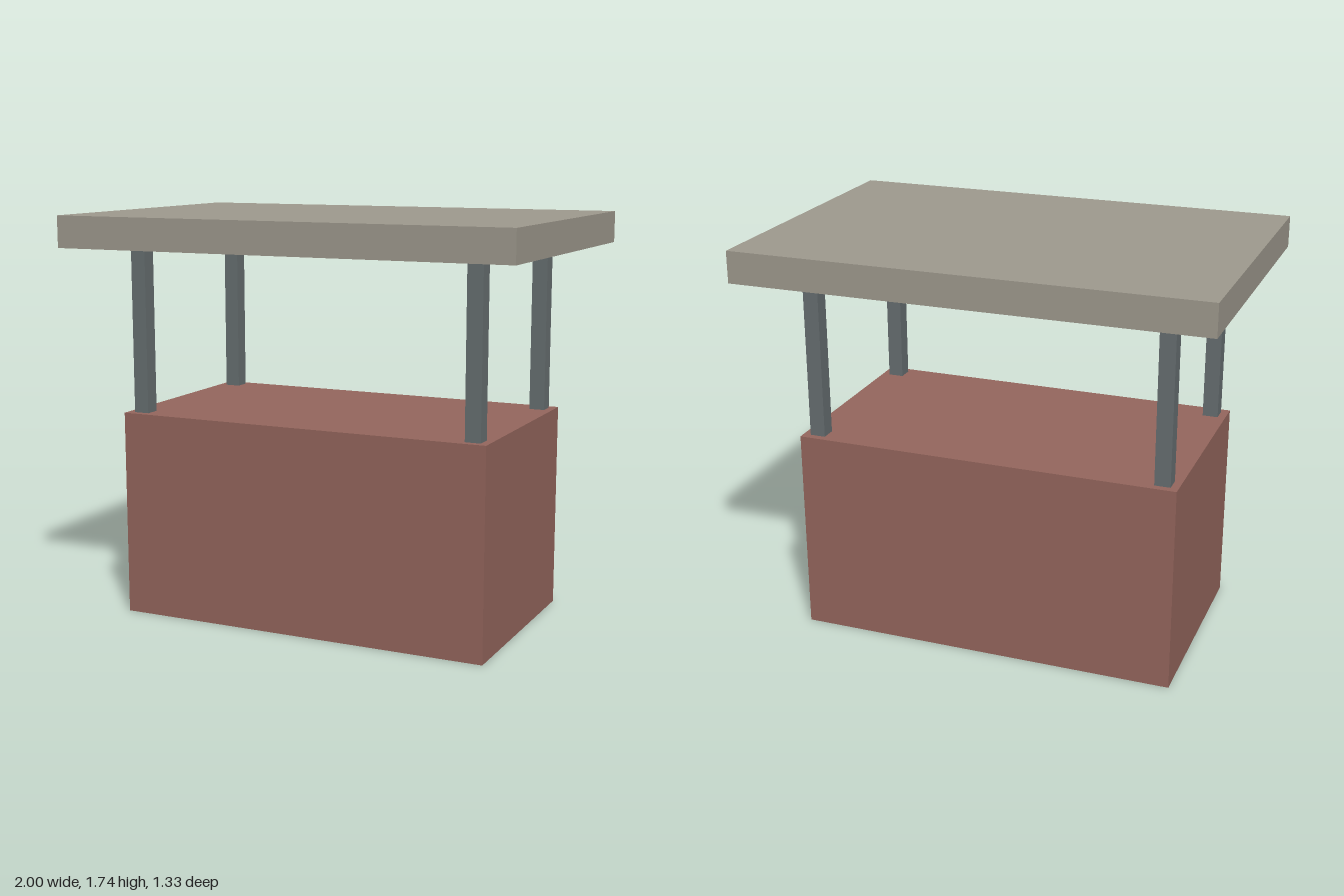
import * as THREE from 'three';

export function createModel() {
  const model = new THREE.Group();
  model.name = 'boothStand';

  const material = (color) => new THREE.MeshStandardMaterial({ color });
  const brick = material(0x96675e);
  const metal = material(0x687072);
  const slab = material(0xa09b8f);

  // Box given by its size, centre in x and z, and bottom height
  function addBox(name, mat, [w, h, d], x, bottom, z) {
    const mesh = new THREE.Mesh(new THREE.BoxGeometry(w, h, d), mat);
    mesh.name = name;
    mesh.position.set(x, bottom + h / 2, z);
    model.add(mesh);
  }

  const baseTop = 0.89;
  const roofBottom = 1.607;

  // Solid counter block
  addBox('counterBase', brick, [1.653, baseTop, 0.93], 0, 0, 0);

  // Four square posts standing on the corners of the block
  for (const [side, x] of [['Left', 0.76], ['Right', -0.76]]) {
    for (const [end, z] of [['front', 0.4], ['back', -0.4]]) {
      addBox(`${end}${side}Post`, metal, [0.067, roofBottom - baseTop, 0.067], x, baseTop, z);
    }
  }

  // Flat overhanging roof
  addBox('roofSlab', slab, [2, 0.135, 1.333], 0, roofBottom, 0);

  return model;
}
